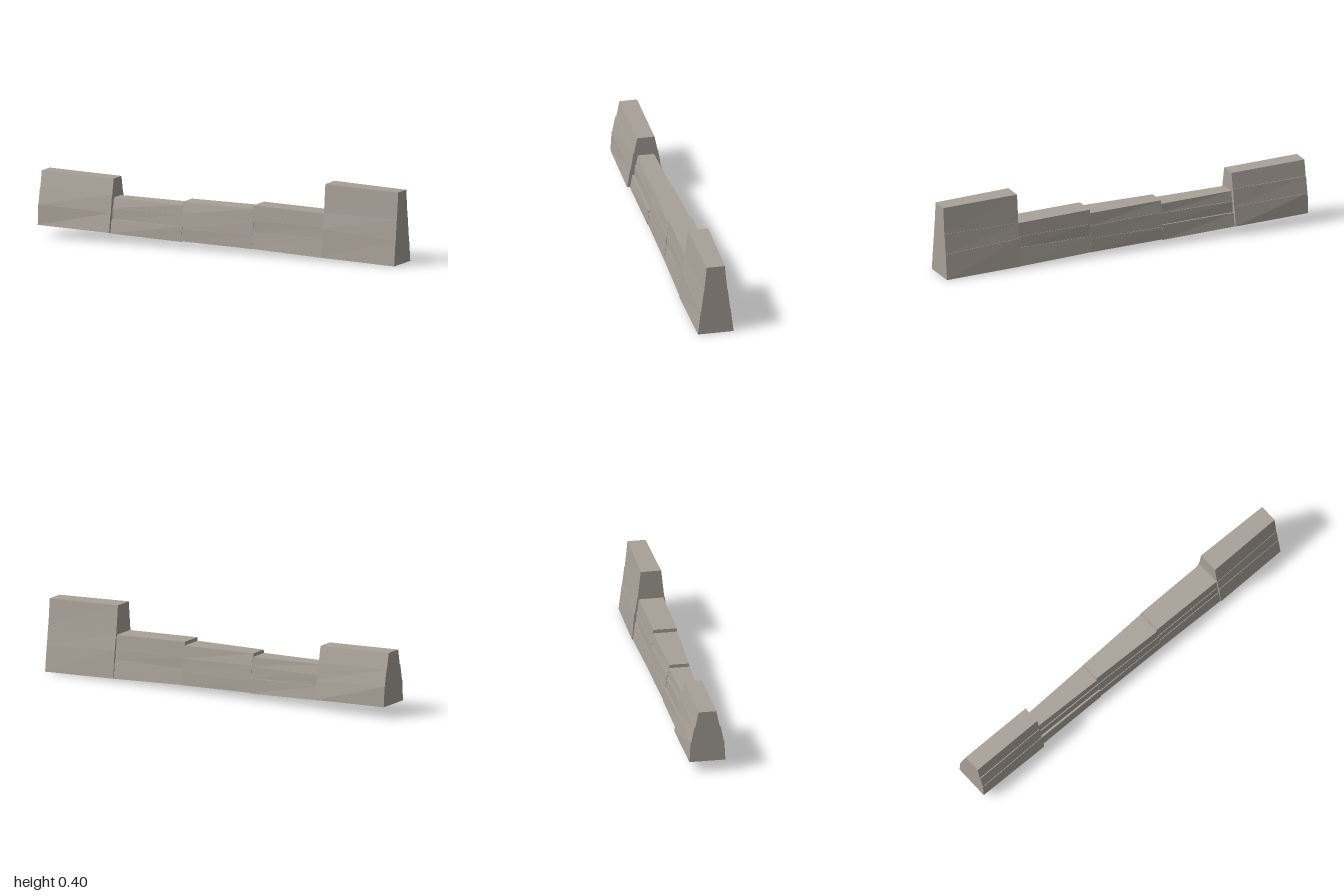
import * as THREE from 'three';

// One tapered stone course between a back and a front cross-section.
// Each section: [bottom y, top y, bottom half-width, top half-width]
function courseGeometry(z0, z1, back, front) {
  const box = new THREE.BoxGeometry(2, 2, 2);
  const p = box.attributes.position;
  for (let i = 0; i < p.count; i++) {
    const isFront = p.getZ(i) > 0;
    const s = isFront ? front : back;
    const k = p.getY(i) > 0 ? 1 : 0;
    p.setXYZ(i, Math.sign(p.getX(i)) * s[2 + k], s[k], isFront ? z1 : z0);
  }
  const g = box.toNonIndexed();
  g.computeVertexNormals();
  return g;
}

export function createModel() {
  const stone = new THREE.MeshStandardMaterial({ color: 0xa8a198, flatShading: true });
  stone.name = 'weathered stone';

  // Heights of the course joints (y) and half-widths (w) at both ends of each block
  const segments = [
    { name: 'backPier', z0: -1.03, z1: -0.615,
      back: { y: [0.06, 0.168, 0.255, 0.34], w: [0.095, 0.089, 0.086, 0.069, 0.064, 0.047] },
      front: { y: [0.05, 0.153, 0.245, 0.328], w: [0.1, 0.083, 0.08, 0.066, 0.063, 0.046] } },
    { name: 'backWall', z0: -0.62, z1: -0.205,
      back: { y: [0.045, 0.117, 0.175, 0.228], w: [0.084, 0.073, 0.062, 0.058, 0.053, 0.043] },
      front: { y: [0.032, 0.112, 0.172, 0.221], w: [0.084, 0.078, 0.07, 0.064, 0.06, 0.055] } },
    { name: 'middleWall', z0: -0.21, z1: 0.205,
      back: { y: [0.035, 0.1, 0.178, 0.239], w: [0.082, 0.078, 0.074, 0.065, 0.062, 0.051] },
      front: { y: [0.027, 0.1, 0.166, 0.234], w: [0.088, 0.082, 0.08, 0.074, 0.071, 0.064] } },
    { name: 'frontWall', z0: 0.2, z1: 0.615,
      back: { y: [0.028, 0.112, 0.176, 0.253], w: [0.088, 0.078, 0.075, 0.072, 0.069, 0.062] },
      front: { y: [0.013, 0.112, 0.17, 0.241], w: [0.096, 0.083, 0.08, 0.075, 0.072, 0.065] } },
    { name: 'frontPier', z0: 0.612, z1: 1.03,
      back: { y: [0.014, 0.165, 0.247, 0.396], w: [0.1, 0.087, 0.084, 0.072, 0.07, 0.054] },
      front: { y: [0.0, 0.135, 0.242, 0.382], w: [0.095, 0.079, 0.077, 0.064, 0.062, 0.048] } },
  ];

  // Wall runs diagonally across the plot
  const model = new THREE.Group();
  model.name = 'ruinedWall';
  const wall = new THREE.Group();
  wall.name = 'wallRun';
  wall.rotation.y = 0.35;
  model.add(wall);

  const courseNames = ['baseCourse', 'middleCourse', 'topCourse'];
  for (const seg of segments) {
    const block = new THREE.Group();
    block.name = seg.name;
    courseNames.forEach((name, i) => {
      const cut = ({ y, w }) => [y[i], y[i + 1], w[2 * i], w[2 * i + 1]];
      const mesh = new THREE.Mesh(courseGeometry(seg.z0, seg.z1, cut(seg.back), cut(seg.front)), stone);
      mesh.name = name;
      block.add(mesh);
    });
    wall.add(block);
  }
  return model;
}
